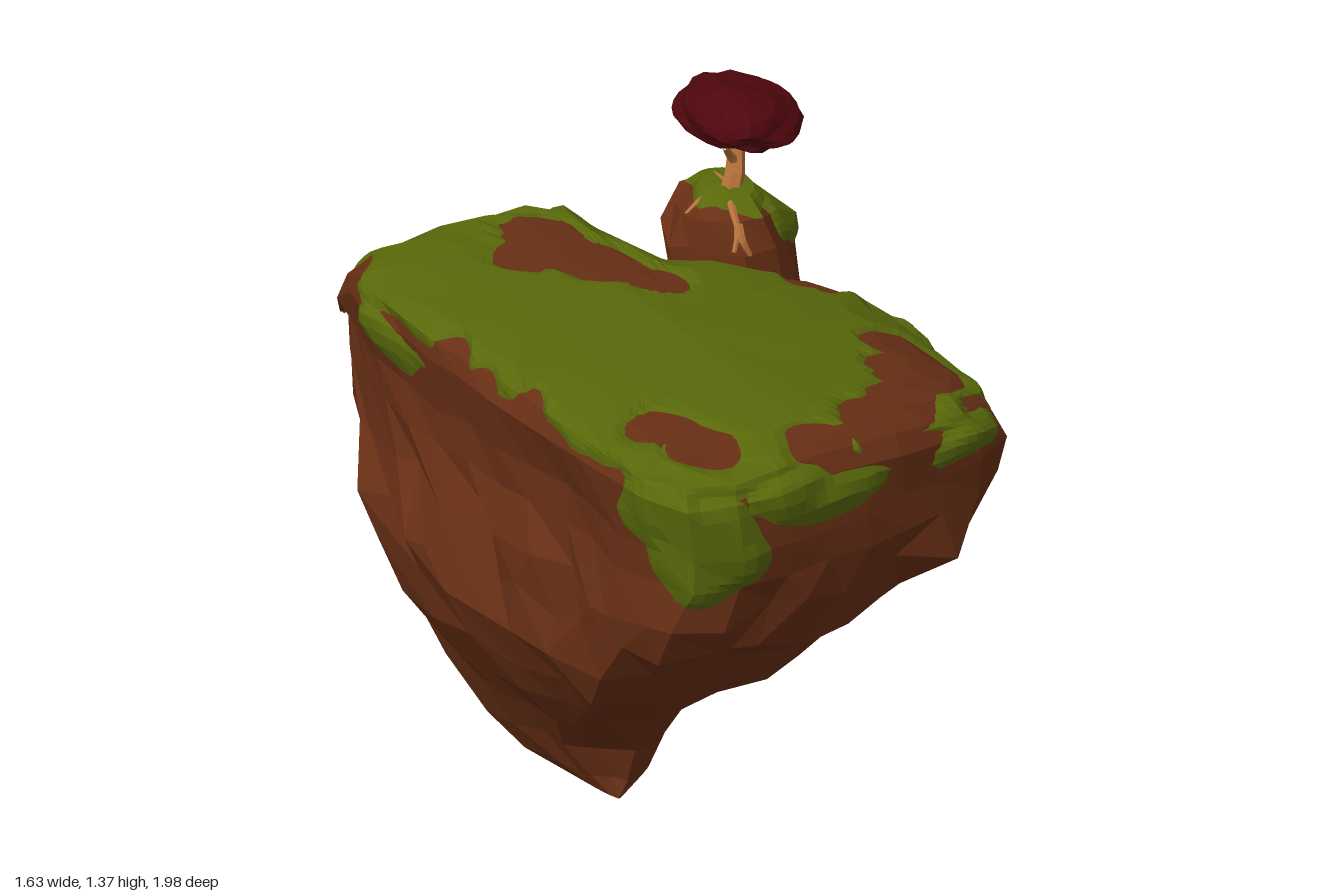
import * as THREE from 'three';

const V = (x, y, z) => new THREE.Vector3(x, y, z);
const material = (color, extra) => new THREE.MeshStandardMaterial({ color, flatShading: true, ...extra });
const rock = material(0x682f15);
const grass = material(0x59680a, { side: THREE.DoubleSide });
const bark = material(0xb5713a);
const leaves = material(0x4e070d);

let seed = 7;
const rand = () => {
  seed = (seed * 16807) % 2147483647;
  return (seed / 2147483647) * 2 - 1;
};
const noise = (p, f) => Math.sin(p.x * f + 1.3 * Math.sin(p.z * f * 0.8)) * Math.cos(p.y * f * 1.1 + p.z * f * 0.9);

function addMesh(parent, name, geometry, mat) {
  const mesh = new THREE.Mesh(geometry, mat);
  mesh.name = name;
  parent.add(mesh);
  return mesh;
}

// Point on a faceted loft; rings run from top to bottom
function sample(rings, u, v) {
  const n = rings[0].length;
  const j = Math.min(Math.floor(v), rings.length - 2), i = Math.floor(u);
  const fu = u - i, fv = v - j;
  const a = rings[j][i % n], b = rings[j][(i + 1) % n];
  const c = rings[j + 1][i % n], d = rings[j + 1][(i + 1) % n];
  const mix = (o, p, q, s, t) => o.clone().multiplyScalar(1 - s - t).addScaledVector(p, s).addScaledVector(q, t);
  return fu + fv <= 1 ? mix(a, b, c, fu, fv) : mix(d, c, b, 1 - fu, 1 - fv);
}

// Faceted skin; with a cover field it becomes a shell that rises out of the rock where the field is positive
function skin(rings, div = 1, field = null, core = null, lastRing = rings.length - 1) {
  const n = rings[0].length * div, m = lastRing * div, grid = [], points = [];
  const triangle = (a, b, c) => {
    if (b.clone().sub(a).cross(c.clone().sub(a)).lengthSq() > 1e-14) points.push(a, b, c);
  };
  for (let j = 0; j <= m; j++) {
    grid.push([]);
    for (let i = 0; i < n; i++) {
      const p = sample(rings, i / div, j / div);
      const f = field ? field(p) : 1;
      if (field) p.addScaledVector(p.clone().sub(core).normalize(), THREE.MathUtils.clamp(f * 0.7, -0.012, 0.028));
      grid[j].push({ p, f });
    }
  }
  for (let j = 0; j < m; j++) for (let i = 0; i < n; i++) {
    const k = (i + 1) % n;
    const a = grid[j][i], b = grid[j][k], c = grid[j + 1][i], d = grid[j + 1][k];
    if (Math.max(a.f, b.f, c.f, d.f) <= 0) continue;
    triangle(a.p, b.p, c.p);
    triangle(b.p, d.p, c.p);
  }
  const g = new THREE.BufferGeometry().setFromPoints(points);
  g.computeVertexNormals();
  return g;
}

// Lumpy boulder or crown
function lump(size, detail, amount, freq, phase) {
  const g = new THREE.IcosahedronGeometry(1, detail), pos = g.attributes.position, p = V();
  for (let i = 0; i < pos.count; i++) {
    p.fromBufferAttribute(pos, i);
    const s = 1 + amount * noise(p.clone().addScalar(phase), freq);
    pos.setXYZ(i, p.x * s * size[0], p.y * s * size[1], p.z * s * size[2]);
  }
  g.computeVertexNormals();
  return g;
}

const blob = (p, [x, y, z, rx, ry, rz]) =>
  (1 - Math.hypot((p.x - x) / rx, (p.y - y) / ry, (p.z - z) / rz)) * Math.min(rx, ry, rz);

function mainIsland() {
  const g = new THREE.Group();
  g.name = 'mainIsland';
  const outline = [[-0.62, -0.67], [-0.4, -0.7], [-0.28, -0.67], [-0.13, -0.5], [-0.11, -0.25], [-0.07, -0.09],
    [0.1, 0.03], [0.28, 0.14], [0.32, 0.27], [0.3, 0.65], [0.24, 0.86], [0, 0.93], [-0.35, 0.955], [-0.57, 0.96],
    [-0.73, 0.9], [-0.78, 0.78], [-0.77, 0.4], [-0.78, 0.1], [-0.78, -0.2], [-0.75, -0.44]];
  const edge = new THREE.CatmullRomCurve3(outline.map(([x, z]) => V(x, 0, z)), true).getSpacedPoints(38).slice(0, 38);
  const height = (x, z) => 1.356 - 0.14 * Math.max(0, x + 0.3) - 0.45 * Math.max(0, x) ** 2
    - Math.min(0.2, 3 * Math.max(0, -0.39 - z) ** 2);
  const rings = [];

  // Plateau, from its middle out to the rim: scale and drop
  const cx = -0.3, cz = 0.25;
  for (const [s, drop] of [[0, 0], [0.25, 0], [0.5, 0], [0.73, 0.003], [0.87, 0.01], [0.95, 0.035], [0.995, 0.08]])
    rings.push(edge.map(e => {
      const x = cx + (e.x - cx) * s, z = cz + (e.z - cz) * s;
      const w = s > 0.9 ? 0.01 : 0.02 * s;
      return V(x + rand() * w, height(x, z) - drop + (s > 0.8 ? rand() * 0.007 : 0), z + rand() * w);
    }));

  // Cliff levels: y, left, right, back, front
  const levels = [[1.13, -0.75, 0.34, -0.69, 0.955], [1.04, -0.75, 0.345, -0.665, 0.945], [0.92, -0.76, 0.215, -0.585, 0.93],
    [0.8, -0.79, 0.13, -0.5, 0.86], [0.69, -0.795, 0.05, -0.44, 0.74], [0.57, -0.76, -0.02, -0.37, 0.65],
    [0.46, -0.69, -0.09, -0.31, 0.52], [0.35, -0.62, -0.17, -0.27, 0.37], [0.22, -0.55, -0.22, -0.25, 0.28],
    [0.13, -0.49, -0.29, -0.16, 0.25], [0.08, -0.45, -0.42, -0.09, 0.24]];
  levels.forEach(([y, l, r, b, f], k) => {
    const above = rings[rings.length - 1], ring = [];
    const round = THREE.MathUtils.smoothstep(1 - y, 0, 0.75);
    const w = k < 2 ? 0.012 : k > 9 ? 0 : 0.036 * (r - l);
    edge.forEach((e, i) => {
      // Fewer, broader facets towards the tip
      if (k > 3 && i % 2) return ring.push(ring[i - 1]);
      const nx = (e.x + 0.225) / 0.555, nz = (e.z - 0.13) / 0.83, len = Math.hypot(nx, nz);
      // Rounder towards the tip, with squarer corners at the back
      const bulge = 1 + (nx < 0 ? 0.6 : 0.25) * Math.abs(nx) * Math.max(0, -nz) / len ** 2;
      const sx = THREE.MathUtils.lerp(nx, bulge * nx / len, round), sz = THREE.MathUtils.lerp(nz, bulge * nz / len, round);
      const x = (l + r) / 2 + sx * (r - l) / 2, z = (b + f) / 2 + sz * (f - b) / 2;
      const ridge = y < 0.2 ? 0.05 * (z - 0.08) : 0;
      ring.push(V(x + rand() * w, Math.min(y + ridge + rand() * w, above[i].y - 0.012), z + rand() * w));
    });
    rings.push(ring);
  });
  rings.push(edge.map(() => V(-0.44, 0.07, 0.0)));
  addMesh(g, 'islandRock', skin(rings), rock);

  // Bare patches on the plateau: x, z, radius
  const bare = [[-0.29, -0.29, 0.1], [-0.38, -0.22, 0.09], [-0.25, -0.1, 0.11], [-0.17, 0.05, 0.07], [0.17, 0.53, 0.09],
    [0.12, 0.68, 0.12], [0, 0.8, 0.09], [-0.13, 0.87, 0.1], [-0.32, 0.9, 0.08], [-0.6, 0.64, 0.08], [-0.57, 0.78, 0.09],
    [-0.81, 0.3, 0.07], [-0.81, 0.15, 0.07], [-0.8, 0, 0.07], [0.2, 0.14, 0.08], [-0.74, -0.5, 0.09], [0.24, 0.88, 0.1]];
  // Turf hanging over the rim: centre and radii
  const drapes = [[-0.66, 1.15, 0.94, 0.14, 0.15, 0.2], [-0.76, 1.25, 0.84, 0.1, 0.12, 0.15], [-0.57, 1.12, 0.96, 0.06, 0.09, 0.1],
    [-0.45, 1.26, 0.95, 0.12, 0.07, 0.12], [-0.3, 1.21, 0.95, 0.13, 0.06, 0.12], [0.1, 1.2, 0.9, 0.13, 0.05, 0.15],
    [0.33, 1.18, 0.42, 0.12, 0.05, 0.3], [-0.05, 1.21, -0.2, 0.25, 0.07, 0.28], [-0.77, 1.23, -0.25, 0.1, 0.06, 0.15],
    [-0.45, 1.1, -0.68, 0.14, 0.05, 0.1]];
  const field = p => {
    let f = p.y - (height(p.x, p.z) - 0.06);
    for (const [x, z, r] of bare) f = Math.min(f, Math.hypot(p.x - x, p.z - z) - r);
    const n = 0.016 * noise(p, 23);
    f = Math.min(f + n, 0.02);
    for (const d of drapes) f = Math.max(f, blob(p, d) + n);
    return f;
  };
  addMesh(g, 'islandGrass', skin(rings, 4, field, V(-0.25, 0.85, 0.2), 10), grass);
  return g;
}

function smallIsland() {
  const g = new THREE.Group();
  g.name = 'smallIsland';
  // Levels: y, left, right, back, front
  const levels = [[0.98, 0.6, 0.6, -0.76, -0.76], [0.975, 0.545, 0.65, -0.83, -0.68], [0.93, 0.48, 0.7, -0.9, -0.63],
    [0.86, 0.445, 0.755, -0.91, -0.61], [0.74, 0.455, 0.775, -0.91, -0.6], [0.62, 0.45, 0.765, -0.905, -0.595],
    [0.5, 0.475, 0.75, -0.9, -0.605], [0.41, 0.53, 0.745, -0.875, -0.635], [0.35, 0.6, 0.73, -0.83, -0.69],
    [0.31, 0.665, 0.665, -0.77, -0.77]];
  const rings = levels.map(([y, l, r, b, f]) => Array.from({ length: 13 }, (_, i) => {
    const t = (i / 13) * Math.PI * 2, w = r - l > 0.2 ? 0.014 : 0;
    return V((l + r) / 2 + Math.cos(t) * (r - l) / 2 + rand() * w, y + rand() * w * 1.5,
      (b + f) / 2 + Math.sin(t) * (f - b) / 2 + rand() * w);
  }));
  addMesh(g, 'smallIslandRock', skin(rings), rock);
  const field = p => Math.min(0.02, Math.max(p.y - 0.95, blob(p, [0.74, 0.9, -0.76, 0.12, 0.1, 0.17])) + 0.012 * noise(p, 30));
  addMesh(g, 'smallIslandGrass', skin(rings, 4, field, V(0.61, 0.75, -0.76), 5), grass);

  // Floating boulders: centre and radii
  [[0.497, 0.325, -0.66, 0.042, 0.046, 0.04], [0.62, 0.325, -0.953, 0.05, 0.075, 0.045], [0.685, 0.255, -0.65, 0.038, 0.088, 0.042],
    [0.6, 0.165, -0.81, 0.047, 0.066, 0.045], [0.65, 0.043, -0.75, 0.031, 0.042, 0.028]].forEach(([x, y, z, ...size], i) => {
    addMesh(g, 'floatingBoulder', lump(size, 1, 0.2, 3.4, i * 1.7), rock).position.set(x, y, z);
  });
  return g;
}

// Tapered limb along a curve
function limb(points, r0, r1) {
  const curve = new THREE.CatmullRomCurve3(points.map(p => V(...p)));
  const steps = 6, sides = 6, g = new THREE.TubeGeometry(curve, steps, 1, sides);
  const pos = g.attributes.position, p = V();
  for (let i = 0; i < pos.count; i++) {
    const t = Math.floor(i / (sides + 1)) / steps, c = curve.getPointAt(t);
    p.fromBufferAttribute(pos, i).sub(c).multiplyScalar(r0 + (r1 - r0) * t).add(c);
    pos.setXYZ(i, p.x, p.y, p.z);
  }
  g.computeVertexNormals();
  return g;
}

function tree() {
  const g = new THREE.Group();
  g.name = 'tree';
  addMesh(g, 'trunk', limb([[0.585, 0.955, -0.74], [0.605, 1.0, -0.74], [0.625, 1.06, -0.76], [0.63, 1.14, -0.77]], 0.028, 0.018), bark);
  [[[0.615, 1.04, -0.75], [0.59, 1.075, -0.74], [0.565, 1.11, -0.72]],
    [[0.62, 1.055, -0.76], [0.68, 1.075, -0.77], [0.75, 1.1, -0.78]],
    [[0.62, 1.06, -0.76], [0.62, 1.08, -0.82], [0.61, 1.12, -0.86]]]
    .forEach(p => addMesh(g, 'branch', limb(p, 0.012, 0.007), bark));
  [[[0.59, 0.985, -0.74], [0.555, 0.965, -0.68], [0.54, 0.93, -0.635], [0.515, 0.885, -0.615]],
    [[0.545, 0.94, -0.64], [0.54, 0.91, -0.615], [0.555, 0.87, -0.603]],
    [[0.59, 0.985, -0.74], [0.6, 0.98, -0.82], [0.6, 0.95, -0.88]],
    [[0.59, 0.985, -0.74], [0.53, 0.965, -0.76], [0.485, 0.93, -0.77]]]
    .forEach(p => addMesh(g, 'root', limb(p, 0.013, 0.006), bark));

  // Crown: flat below, highest left of the middle
  const crown = lump([0.155, 0.09, 0.15], 4, 0.1, 5.5, 0.6), pos = crown.attributes.position;
  for (let i = 0; i < pos.count; i++) {
    const x = pos.getX(i), y = pos.getY(i);
    pos.setY(i, (y < 0 ? y * 0.75 : y) - x * 0.16);
  }
  crown.computeVertexNormals();
  addMesh(g, 'crown', crown, leaves).position.set(0.636, 1.16, -0.76);
  return g;
}

export function createModel() {
  seed = 7;
  const model = new THREE.Group();
  model.name = 'floatingIslands';
  model.add(mainIsland(), smallIsland(), tree());
  return model;
}
